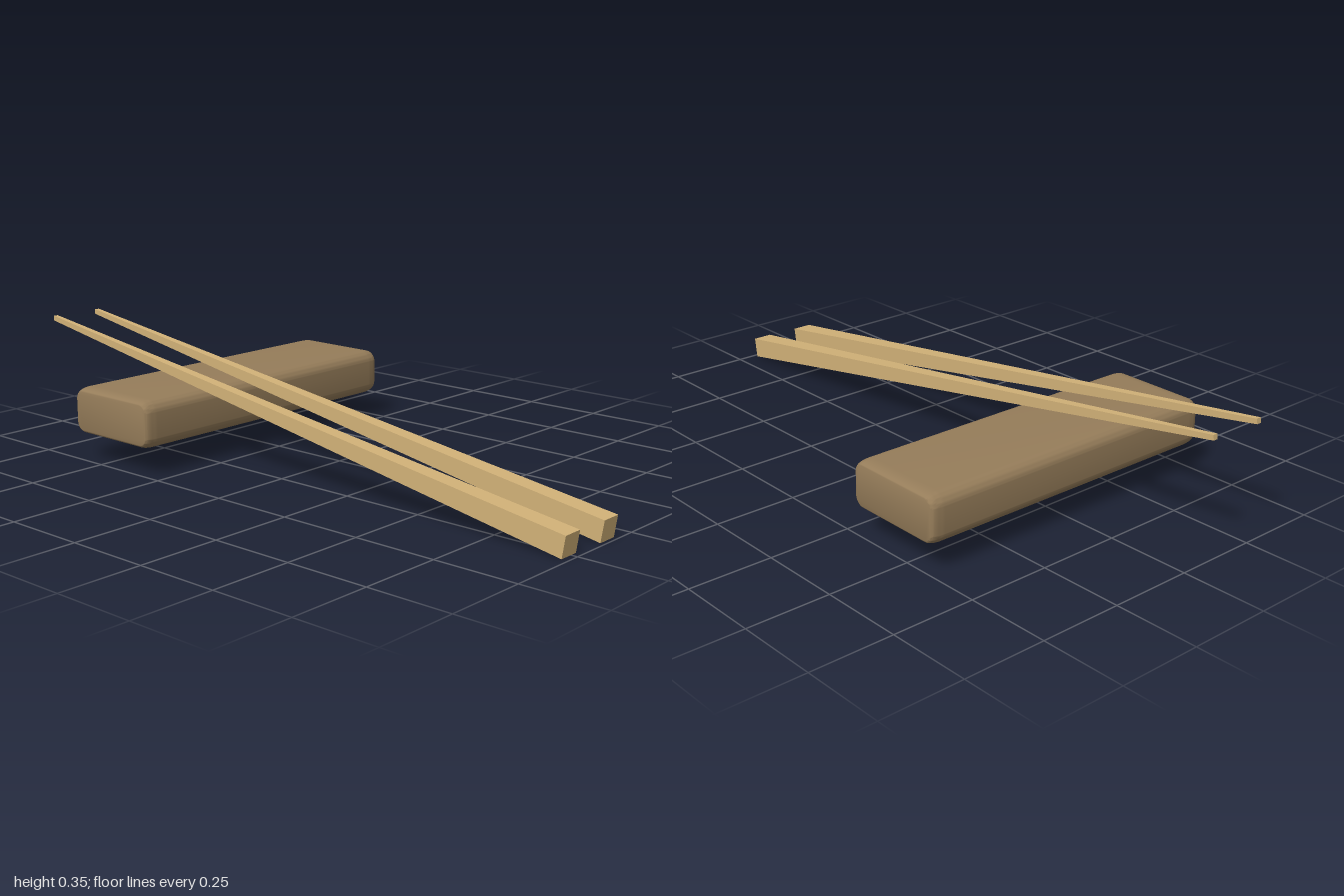
import * as THREE from 'three';
import { toCreasedNormals } from 'three/addons/utils/BufferGeometryUtils.js';

// Square stick tapering toward its back tip (-z)
function taperedStick(length, thick, thin) {
  const geo = new THREE.BoxGeometry(1, 1, length);
  const pos = geo.attributes.position;
  for (let i = 0; i < pos.count; i++) {
    const size = pos.getZ(i) > 0 ? thick : thin;
    pos.setXY(i, pos.getX(i) * size, pos.getY(i) * size);
  }
  geo.computeVertexNormals();
  return geo;
}

// Rounded bar running along x, with softly domed end edges
function roundedBar(length, height, depth, radius) {
  const bevel = 0.04, inset = 0.012;
  const w = depth / 2, h = height / 2, r = radius;
  const shape = new THREE.Shape();
  shape.absarc(w - r, h - r, r, 0, Math.PI / 2);
  shape.absarc(r - w, h - r, r, Math.PI / 2, Math.PI);
  shape.absarc(r - w, r - h, r, Math.PI, Math.PI * 1.5);
  shape.absarc(w - r, r - h, r, Math.PI * 1.5, Math.PI * 2);
  shape.closePath();
  const geo = new THREE.ExtrudeGeometry(shape, {
    depth: length - 2 * bevel, curveSegments: 8,
    bevelThickness: bevel, bevelSize: inset, bevelOffset: -inset, bevelSegments: 6,
  });
  geo.translate(0, 0, bevel - length / 2);
  geo.rotateY(Math.PI / 2);
  return toCreasedNormals(geo, 0.7);
}

export function createModel() {
  const model = new THREE.Group();
  model.name = 'chopsticksOnRest';
  const paleWood = new THREE.MeshStandardMaterial({ color: 0xd2b278 });
  const darkWood = new THREE.MeshStandardMaterial({ color: 0x967d5a });

  // Rest block
  const rest = new THREE.Mesh(roundedBar(1, 0.142, 0.325, 0.037), darkWood);
  rest.name = 'chopstickRest';
  rest.position.set(0, 0.151, -0.446);
  rest.rotation.y = -0.008;
  model.add(rest);

  // Pair of chopsticks leaning on the rest
  const stickGeo = taperedStick(2.009, 0.063, 0.015);
  [['rightChopstick', -0.26, -0.006], ['leftChopstick', -0.095, 0]].forEach(([name, x, z]) => {
    const stick = new THREE.Mesh(stickGeo, paleWood);
    stick.name = name;
    stick.position.set(x, 0.19, z);
    stick.rotation.x = 0.158;
    model.add(stick);
  });
  return model;
}
